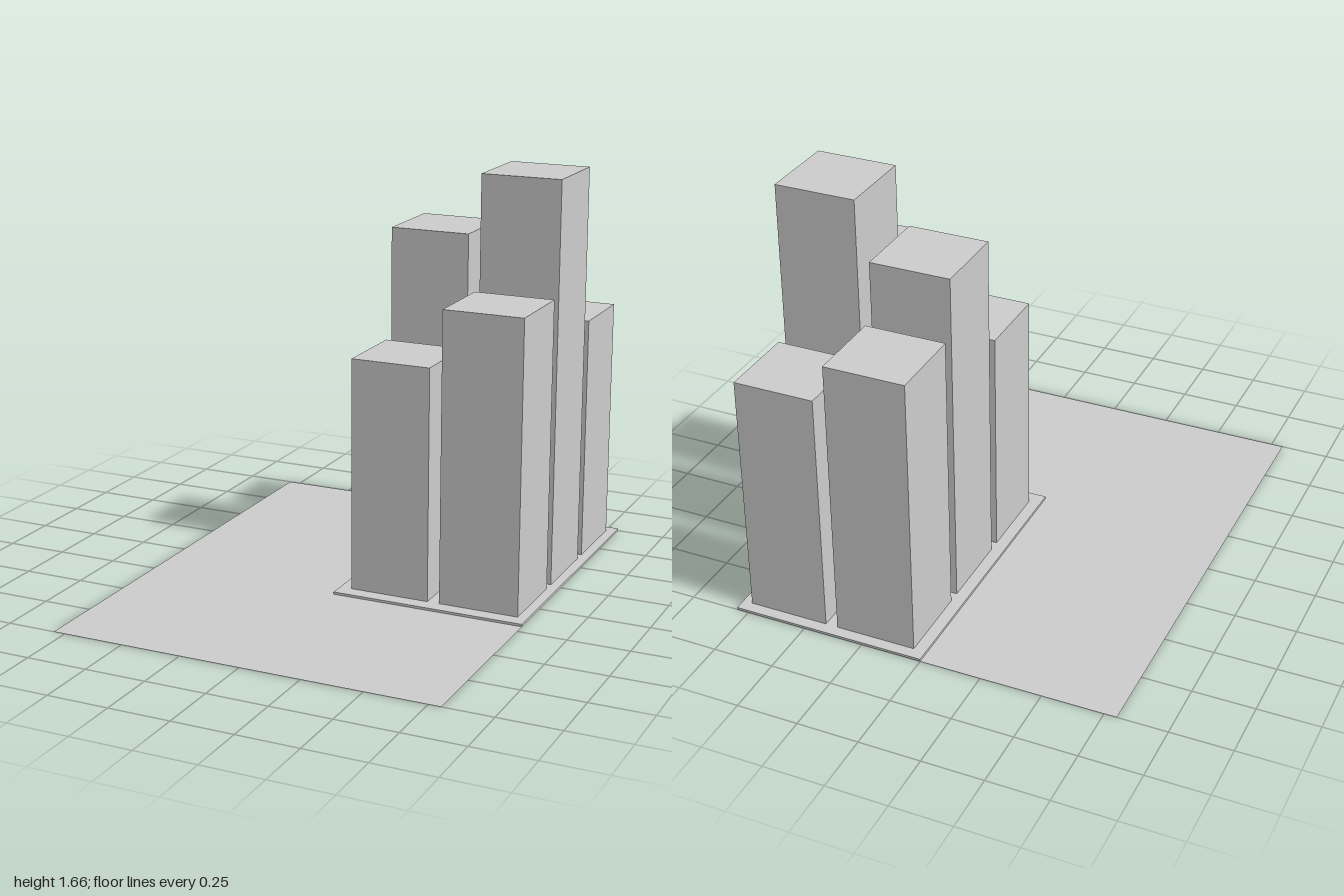
import * as THREE from 'three';

export function createModel() {
  const group = new THREE.Group();
  const grey = new THREE.MeshStandardMaterial({ color: 0xcccccc, flatShading: true });
  const thinGrey = new THREE.MeshStandardMaterial({ color: 0xcccccc, side: THREE.DoubleSide });

  // Box placed by its centre in plan and the height of its underside
  const addBox = (name, width, height, depth, x, base, z) => {
    const mesh = new THREE.Mesh(new THREE.BoxGeometry(width, height, depth), grey);
    mesh.position.set(x, base + height / 2, z);
    mesh.name = name;
    group.add(mesh);
  };

  // Flat ground sheet
  const ground = new THREE.Mesh(new THREE.PlaneGeometry(1.6, 2).rotateX(-Math.PI / 2), thinGrey);
  ground.name = 'groundSheet';
  group.add(ground);

  // Thin paved block in the back left corner
  const slab = 0.01;
  addBox('blockSlab', 0.8, slab, 1.2, 0.4, 0, -0.4);

  // Towers: rows from front to back, roof heights of the inner and outer column
  const side = 0.33, pitch = 0.38;
  const roofs = [[0.965, 1.2], [1.417, 1.66], [1.177, 1.02]];
  roofs.forEach((row, r) => row.forEach((roof, c) => {
    addBox(`tower${r + 1}${c ? 'Outer' : 'Inner'}`, side, roof - slab, side,
      0.215 + c * pitch, slab, -0.027 - r * pitch);
  }));

  return group;
}
